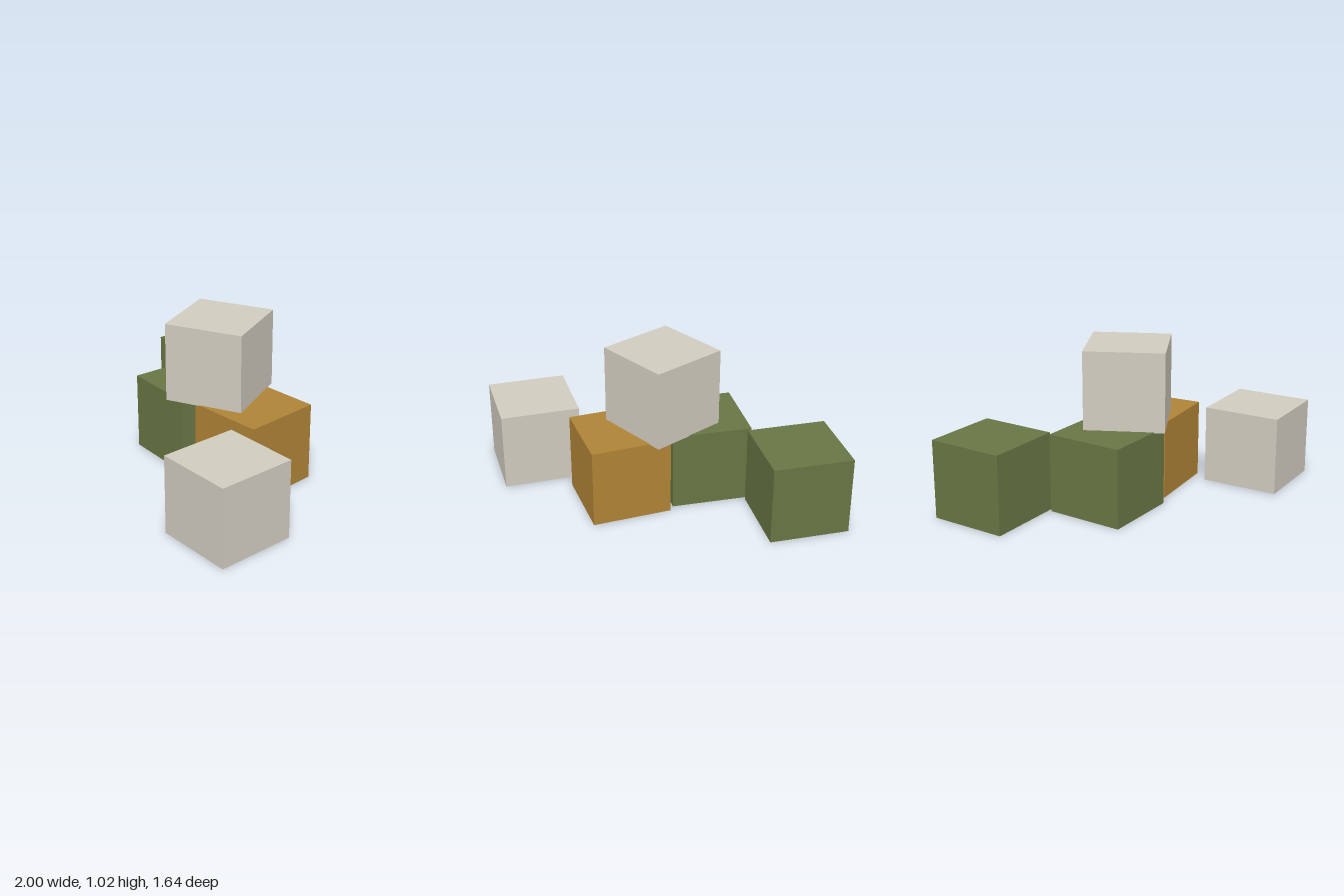
import * as THREE from 'three';

const paint = (name, color) => {
  const m = new THREE.MeshStandardMaterial({ color });
  m.name = name;
  return m;
};

export function createModel() {
  const group = new THREE.Group();
  group.name = 'blockStack';

  const stone = paint('stone', 0xd0cbbf);
  const olive = paint('olive', 0x687544);
  const ochre = paint('ochre', 0xaf8336);

  const side = 0.515;
  const cube = new THREE.BoxGeometry(side, side, side);

  // One loose block: base centre and turn about the vertical
  const addBlock = (name, material, x, base, z, turn) => {
    const mesh = new THREE.Mesh(cube, material);
    mesh.name = name;
    mesh.position.set(x, base + side / 2, z);
    mesh.rotation.y = turn;
    group.add(mesh);
  };

  // Ground blocks, back right to front left
  addBlock('backBlock', olive, -0.735, 0, -0.555, -0.035);
  addBlock('middleRightBlock', olive, -0.275, 0, 0, -0.049);
  addBlock('middleLeftBlock', ochre, 0.294, 0, -0.043, 0.062);
  addBlock('frontBlock', stone, 0.74, 0, 0.555, 0.008);

  // Block resting across the middle pair
  addBlock('topBlock', stone, 0.001, 0.51, -0.017, 0.445);

  return group;
}
